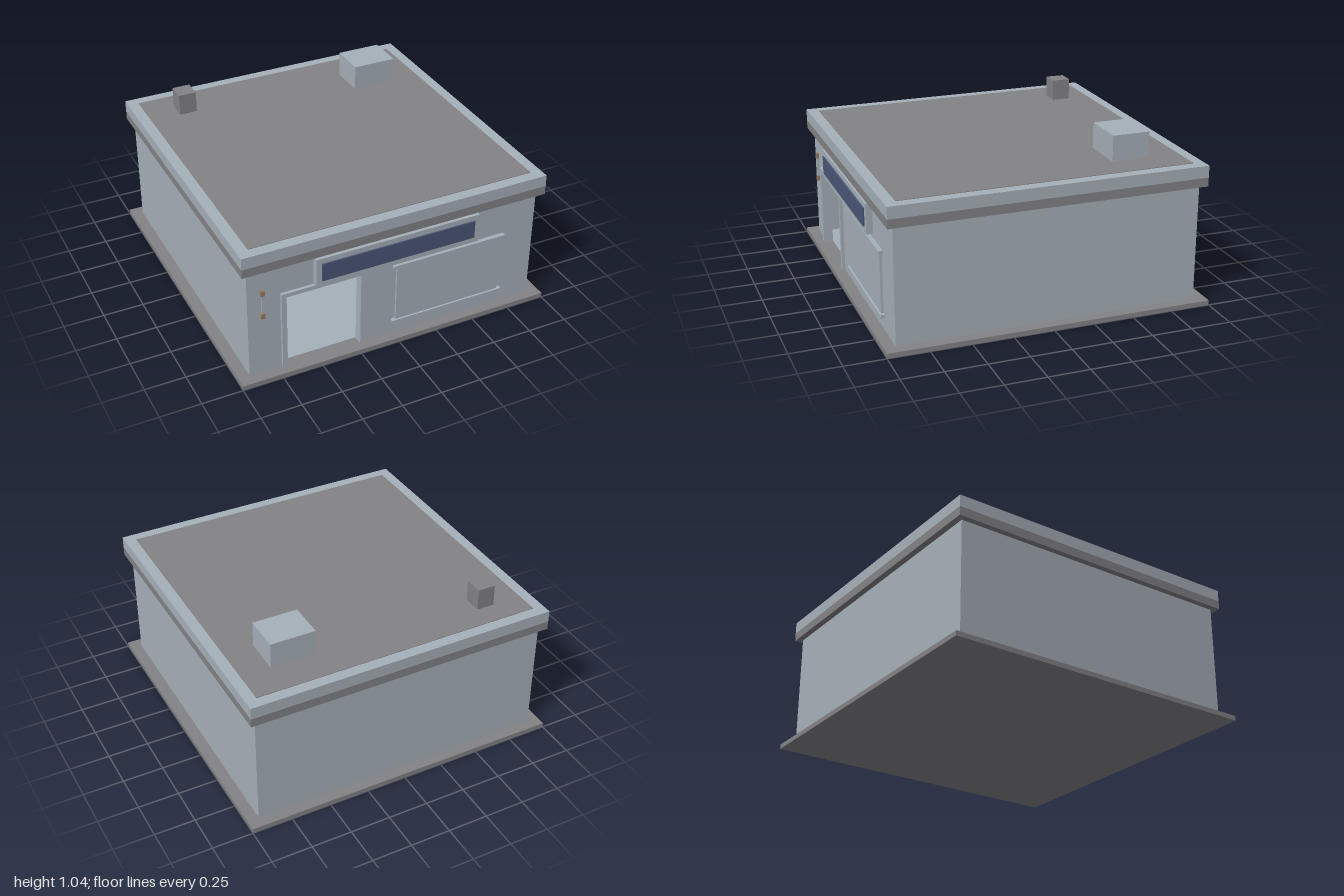
import * as THREE from 'three';

const mat = (name, color) => {
  const m = new THREE.MeshStandardMaterial({ color });
  m.name = name;
  return m;
};

export function createModel() {
  const root = new THREE.Group();
  root.name = 'shop';
  const pale = mat('paleBlueGrey', 0xa6b0b9);
  const grey = mat('grey', 0x838386);
  const navy = mat('navy', 0x4b5677);
  const wood = mat('wood', 0x967c5f);

  // Box given by its lower and upper limits on each axis
  const box = (name, m, [x0, x1], [y0, y1], [z0, z1], parent = root) => {
    const mesh = new THREE.Mesh(new THREE.BoxGeometry(x1 - x0, y1 - y0, z1 - z0), m);
    mesh.position.set((x0 + x1) / 2, (y0 + y1) / 2, (z0 + z1) / 2);
    mesh.name = name;
    parent.add(mesh);
    return mesh;
  };
  const rect = (P, x0, x1, y0, y1) => {
    const p = new P();
    p.moveTo(x0, y0);
    p.lineTo(x1, y0);
    p.lineTo(x1, y1);
    p.lineTo(x0, y1);
    p.closePath();
    return p;
  };
  const extrude = (name, m, shape, depth) => {
    const mesh = new THREE.Mesh(new THREE.ExtrudeGeometry(shape, { depth, bevelEnabled: false }), m);
    mesh.name = name;
    root.add(mesh);
    return mesh;
  };

  // Base and inner floor
  box('base', grey, [-1, 1], [0, 0.03], [-1, 1]);
  box('floor', pale, [-0.89, 0.89], [0.03, 0.035], [-0.89, 0.89]);

  // Walls, with the doorway cut out of the front one
  for (const s of [-1, 1]) {
    const x = [s * 0.93, s * 0.89].sort((a, b) => a - b);
    box('sideWall', pale, x, [0.03, 0.75], [-0.93, 0.93]);
  }
  box('backWall', pale, [-0.89, 0.89], [0.03, 0.75], [-0.93, -0.89]);
  const front = new THREE.Shape([[-0.89, 0.03], [-0.7, 0.03], [-0.7, 0.525], [-0.235, 0.525],
    [-0.235, 0.03], [0.89, 0.03], [0.89, 0.75], [-0.89, 0.75]].map(p => new THREE.Vector2(...p)));
  extrude('frontWall', pale, front, 0.04).position.z = 0.89;

  // Door frame
  box('doorJamb', pale, [-0.73, -0.7], [0.03, 0.55], [0.89, 0.95]);
  box('doorJamb', pale, [-0.235, -0.205], [0.03, 0.55], [0.89, 0.95]);
  box('doorHead', pale, [-0.7, -0.235], [0.525, 0.55], [0.89, 0.95]);

  // Window panel with its ledges
  box('windowPanel', pale, [0, 0.695], [0.13, 0.505], [0.93, 0.945]);
  for (const y of [0.11, 0.503]) box('windowLedge', pale, [-0.025, 0.72], [y, y + 0.021], [0.93, 0.957]);

  // Sign above the door
  box('signBoard', pale, [-0.525, 0.52], [0.55, 0.735], [0.93, 0.97]);
  box('signFace', navy, [-0.492, 0.488], [0.588, 0.702], [0.97, 0.979]);

  // Striped-pole fitting by the door
  box('wallPole', pale, [-0.846, -0.834], [0.45, 0.58], [0.93, 0.942]);
  for (const y of [0.42, 0.575]) box('poleCap', wood, [-0.852, -0.828], [y, y + 0.034], [0.93, 0.948]);

  // Roof slab, parapet ring and deck
  box('roofSlab', grey, [-0.968, 0.968], [0.75, 0.805], [-0.968, 0.968]);
  const ring = rect(THREE.Shape, -0.968, 0.968, -0.968, 0.968);
  ring.holes.push(rect(THREE.Path, -0.9, 0.9, -0.9, 0.9));
  const parapet = extrude('parapet', pale, ring, 0.073);
  parapet.rotation.x = -Math.PI / 2;
  parapet.position.y = 0.805;
  box('roofDeck', grey, [-0.9, 0.9], [0.805, 0.881], [-0.9, 0.9]);

  // Rooftop units
  box('chimney', grey, [-0.712, -0.6], [0.881, 1.015], [-0.76, -0.643]);
  box('ventUnit', pale, [0.438, 0.718], [0.881, 1.04], [-0.7, -0.468]);

  // Reception desk
  box('desk', wood, [-0.87, -0.295], [0.035, 0.248], [-0.82, -0.66]);
  box('deskTop', pale, [-0.885, -0.28], [0.248, 0.26], [-0.835, -0.645]);
  box('till', grey, [-0.45, -0.37], [0.26, 0.325], [-0.78, -0.7]);

  // Waiting seats along the right-hand wall
  for (const z of [0.62, 0.44, 0.26]) {
    const chair = new THREE.Group();
    chair.name = 'waitingChair';
    root.add(chair);
    box('seat', navy, [-0.88, -0.72], [0.095, 0.125], [z - 0.075, z + 0.075], chair);
    box('seatBack', navy, [-0.885, -0.86], [0.125, 0.29], [z - 0.075, z + 0.075], chair);
    for (const dx of [-0.86, -0.75]) {
      box('chairLeg', grey, [dx, dx + 0.015], [0.035, 0.095], [z - 0.01, z + 0.01], chair);
    }
  }

  // Work chairs on pedestals facing the left-hand wall
  for (const z of [-0.39, 0.02, 0.43]) {
    const chair = new THREE.Group();
    chair.name = 'workChair';
    root.add(chair);
    const post = new THREE.Mesh(new THREE.CylinderGeometry(0.02, 0.02, 0.09, 12), grey);
    post.name = 'pedestal';
    post.position.set(0.69, 0.08, z);
    chair.add(post);
    box('seat', navy, [0.61, 0.77], [0.125, 0.16], [z - 0.08, z + 0.08], chair);
    box('seatBack', navy, [0.59, 0.615], [0.16, 0.35], [z - 0.08, z + 0.08], chair);
  }
  return root;
}
